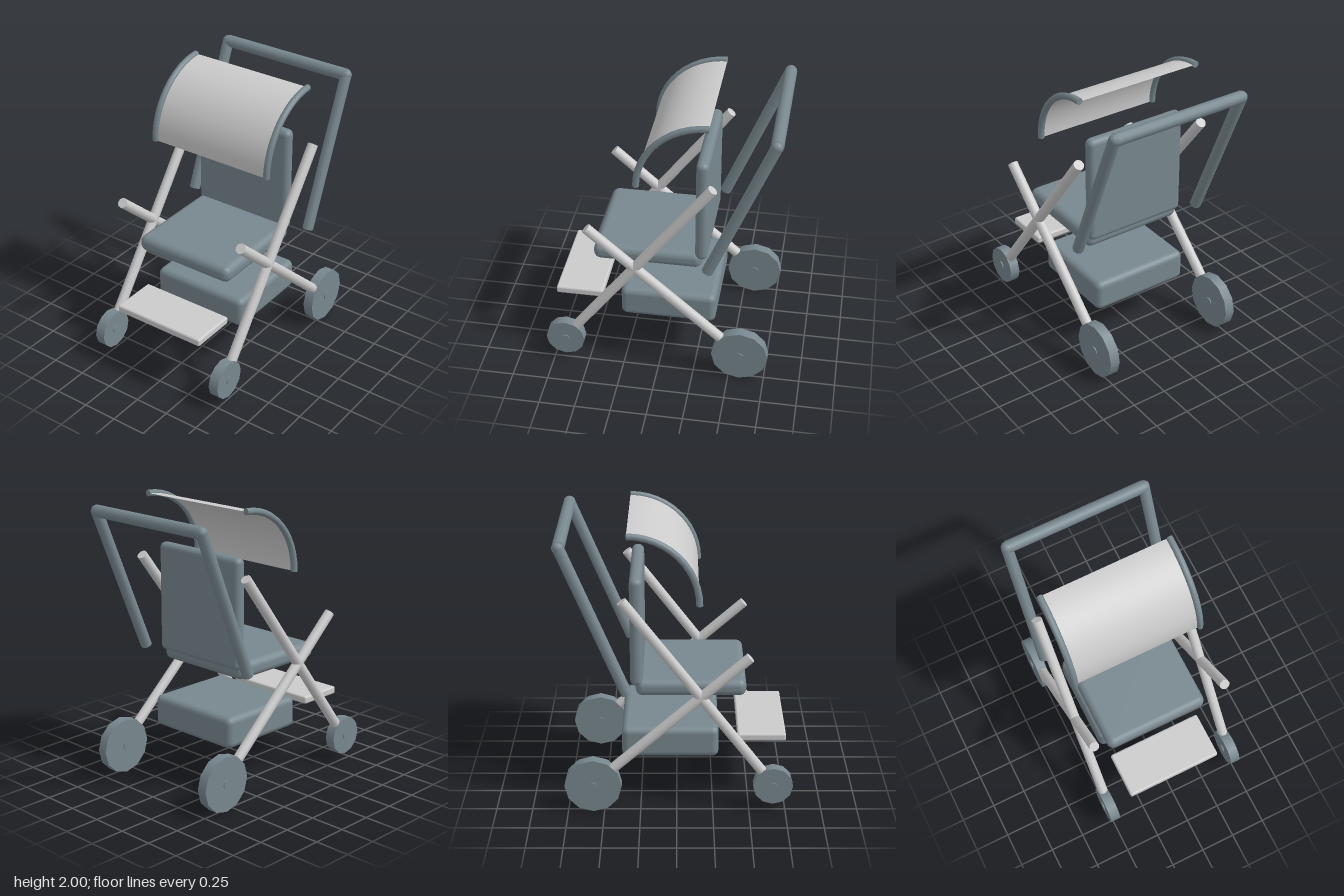
import * as THREE from 'three';
import { RoundedBoxGeometry } from 'three/addons/geometries/RoundedBoxGeometry.js';

const V = (x, y, z) => new THREE.Vector3(x, y, z);

export function createModel() {
  const group = new THREE.Group();
  const light = new THREE.MeshStandardMaterial({ color: 0xcccccc });
  const fabric = new THREE.MeshStandardMaterial({ color: 0x78888f });
  const sheet = new THREE.MeshStandardMaterial({ color: 0xcccccc, side: THREE.DoubleSide });

  function add(name, geometry, material, position) {
    const mesh = new THREE.Mesh(geometry, material);
    mesh.name = name;
    if (position) mesh.position.copy(position);
    group.add(mesh);
    return mesh;
  }

  // Straight round bar between two points
  function bar(name, a, b, radius, sides, material) {
    const dir = b.clone().sub(a);
    const geo = new THREE.CylinderGeometry(radius, radius, dir.length(), sides);
    const mesh = add(name, geo, material, a.clone().add(b).multiplyScalar(0.5));
    mesh.quaternion.setFromUnitVectors(V(0, 1, 0), dir.normalize());
  }

  // Soft box given by its extents in y and z
  function cushion(name, width, y0, y1, z0, z1, radius, material) {
    add(name, new RoundedBoxGeometry(width, y1 - y0, z1 - z0, 3, radius), material,
      V(0, (y0 + y1) / 2, (z0 + z1) / 2));
  }

  // Wheel with a small hub, turning about x
  function wheel(name, x, z, radius) {
    const disc = new THREE.CylinderGeometry(radius, radius, 0.072, 12).rotateZ(Math.PI / 2);
    const hub = new THREE.CylinderGeometry(0.03, 0.03, 0.088, 12).rotateZ(Math.PI / 2);
    add(name, disc, fabric, V(x, 0.197, z));
    add(name + 'Hub', hub, fabric, V(x, 0.197, z));
  }

  // Seat, backrest, storage basket and footrest
  cushion('seat', 0.755, 0.8, 0.92, -0.28, 0.474, 0.05, fabric);
  cushion('backrest', 0.755, 0.875, 1.65, -0.316, -0.23, 0.04, fabric);
  cushion('basket', 0.735, 0.33, 0.555, -0.38, 0.29, 0.045, fabric);
  cushion('footrest', 0.7, 0.45, 0.506, 0.42, 0.756, 0.015, light);

  // Canopy arc in the y-z plane
  const R = 0.475, steps = 12;
  const arc = (x, t) => V(x, 1.503 + R * Math.sin(t), -0.325 + R * Math.cos(t));
  class Arc extends THREE.Curve {
    constructor(x) { super(); this.x = x; }
    getPoint(t) { return arc(this.x, t * Math.PI / 2); }
  }

  for (const [side, s] of [['left', 1], ['right', -1]]) {
    const x = 0.495 * s;
    // Crossed frame bars and wheels
    bar(side + 'FrontLeg', V(x, 0.197, 0.662), V(x, 1.548, -0.36), 0.036, 12, light);
    bar(side + 'RearLeg', V(x, 0.197, -0.575), V(x, 1.15, 0.488), 0.036, 12, light);
    wheel(side + 'FrontWheel', x, 0.662, 0.137);
    wheel(side + 'RearWheel', x, -0.575, 0.197);

    // Push handle upright and elbow
    bar(side + 'HandleUpright', V(x, 0.885, -0.335), V(x, 1.913, -0.757), 0.04, 8, fabric);
    add(side + 'HandleElbow', new THREE.SphereGeometry(0.04, 12, 8), fabric, V(x, 1.913, -0.757));

    // Canopy rib with closed ends
    const ribX = 0.46 * s;
    add(side + 'CanopyRib', new THREE.TubeGeometry(new Arc(ribX), steps, 0.023, 8), fabric);
    const cap = new THREE.CircleGeometry(0.023, 8);
    add(side + 'CanopyRibLowerCap', cap, fabric, arc(ribX, 0)).rotation.x = Math.PI / 2;
    add(side + 'CanopyRibUpperCap', cap, fabric, arc(ribX, Math.PI / 2)).rotation.y = Math.PI;
  }
  bar('handleGrip', V(-0.495, 1.913, -0.757), V(0.495, 1.913, -0.757), 0.043, 12, fabric);

  // Canopy sheet: open quarter cylinder lying along x
  const canopy = new THREE.CylinderGeometry(R, R, 0.92, steps * 2, 1, true, 0, Math.PI / 2);
  canopy.rotateZ(Math.PI / 2);
  add('canopy', canopy, sheet, V(0, 1.503, -0.325));

  return group;
}
